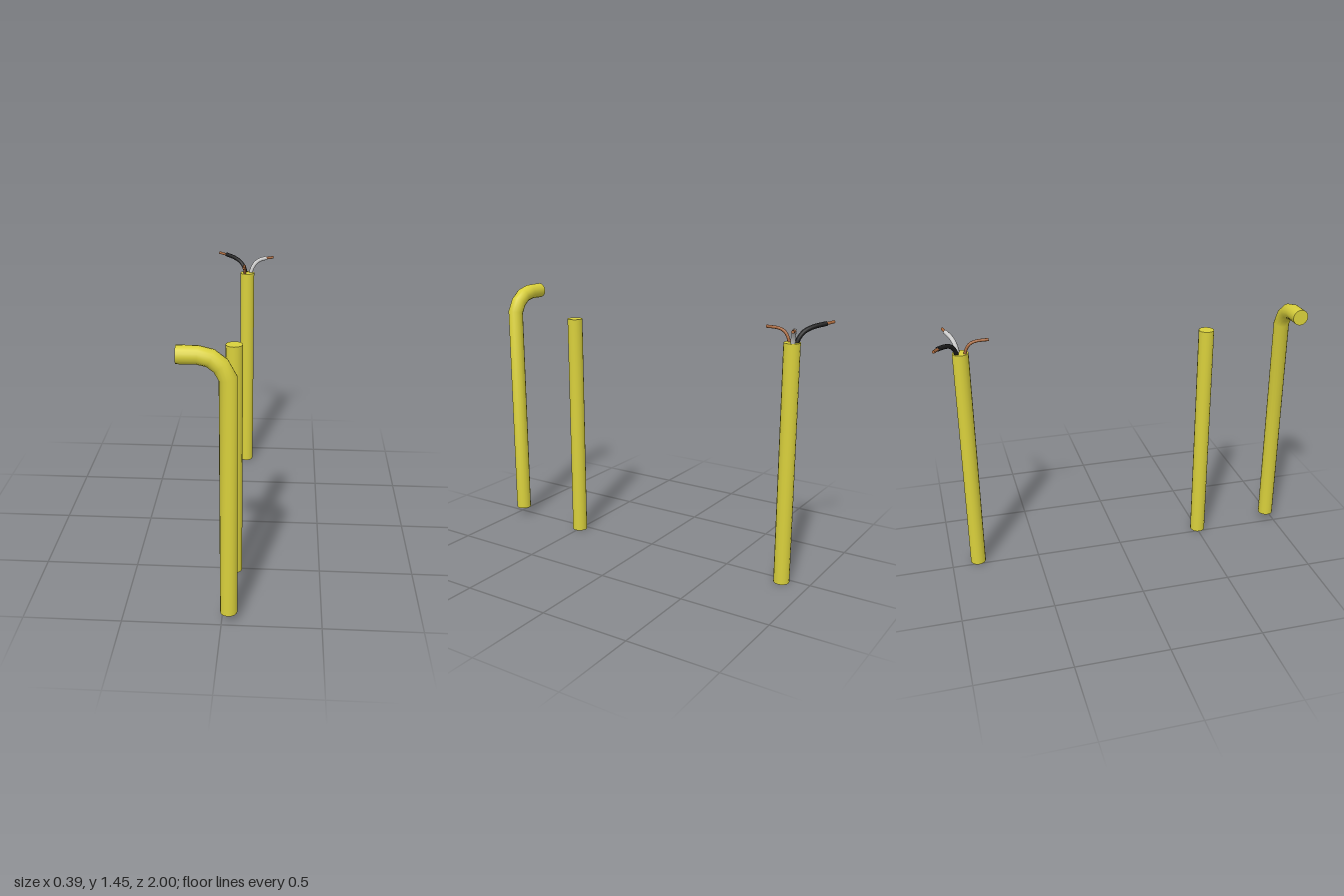
import * as THREE from 'three';

const YELLOW = 0xd9d03c, COPPER = 0xa8683c, BLACK = 0x1c1c1c, GREY = 0xcccccc;
const X = 0.035, R = 0.043, TOP = 1.3;

// Path through fixed points, one ring per point, mitred at each bend
class Polyline extends THREE.Curve {
  constructor(points) {
    super();
    this.points = points;
  }
  getPointAt(u, target = new THREE.Vector3()) {
    return target.copy(this.points[Math.round(u * (this.points.length - 1))]);
  }
  getTangentAt(u, target = new THREE.Vector3()) {
    const p = this.points, n = p.length - 1, i = Math.round(u * n);
    target.set(0, 0, 0);
    if (i > 0) target.add(p[i].clone().sub(p[i - 1]).normalize());
    if (i < n) target.add(p[i + 1].clone().sub(p[i]).normalize());
    return target.normalize();
  }
}

// Closed round rod following a path
function rod(name, points, radius, color, sides = 16) {
  const group = new THREE.Group();
  group.name = name;
  const material = new THREE.MeshStandardMaterial({ color });
  const path = new Polyline(points);
  const tube = new THREE.Mesh(new THREE.TubeGeometry(path, points.length - 1, radius, sides), material);
  tube.name = name + 'Skin';
  group.add(tube);
  for (const end of [0, 1]) {
    const cap = new THREE.Mesh(new THREE.CircleGeometry(radius, sides), material);
    cap.name = name + 'End';
    cap.position.copy(path.getPointAt(end));
    const out = path.getTangentAt(end).multiplyScalar(end ? 1 : -1);
    cap.quaternion.setFromUnitVectors(new THREE.Vector3(0, 0, 1), out);
    group.add(cap);
  }
  return group;
}

// Straight cable sheath
function straightCable(name, z) {
  const mesh = new THREE.Mesh(
    new THREE.CylinderGeometry(R, R, TOP, 16),
    new THREE.MeshStandardMaterial({ color: YELLOW })
  );
  mesh.name = name;
  mesh.position.set(X, TOP / 2, z);
  return mesh;
}

const vec = (list) => list.map((p) => new THREE.Vector3(...p));

// Smooth curve sampled into points
const smooth = (list, n = 10) => new THREE.CatmullRomCurve3(vec(list)).getPoints(n);

export function createModel() {
  const model = new THREE.Group();
  model.name = 'cables';

  // Cable with a bent top
  model.add(rod('bentCable', vec([
    [X, 0.05, 0.955], [X, TOP, 0.955], [0.003, 1.358, 0.955],
    [-0.042, 1.393, 0.955], [-0.1, 1.407, 0.955], [-0.195, 1.407, 0.955]
  ]), R, YELLOW));

  // Plain cable
  model.add(straightCable('straightCable', 0.505));

  // Stripped cable with three splayed conductors
  const stripped = new THREE.Group();
  stripped.name = 'strippedCable';
  stripped.add(straightCable('sheath', -0.85));
  stripped.add(rod('greyWire', smooth([
    [0.052, 1.28, -0.862], [0.062, 1.32, -0.866], [0.085, 1.357, -0.879],
    [0.115, 1.374, -0.895], [0.15, 1.38, -0.91]
  ]), 0.012, GREY, 10));
  stripped.add(rod('greyWireCore', vec([[0.14, 1.379, -0.906], [0.195, 1.383, -0.921]]), 0.008, COPPER, 10));
  stripped.add(rod('blackWire', smooth([
    [0.025, 1.28, -0.868], [0.018, 1.315, -0.874], [-0.005, 1.352, -0.893],
    [-0.045, 1.374, -0.925], [-0.105, 1.386, -0.97]
  ]), 0.012, BLACK, 10));
  stripped.add(rod('blackWireCore', vec([[-0.095, 1.384, -0.963], [-0.15, 1.391, -0.992]]), 0.008, COPPER, 10));
  stripped.add(rod('bareWire', smooth([
    [0.02, 1.28, -0.828], [0.02, 1.315, -0.823], [0.02, 1.348, -0.802],
    [0.02, 1.363, -0.77], [0.02, 1.366, -0.7]
  ]), 0.008, COPPER, 10));
  model.add(stripped);

  return model;
}
